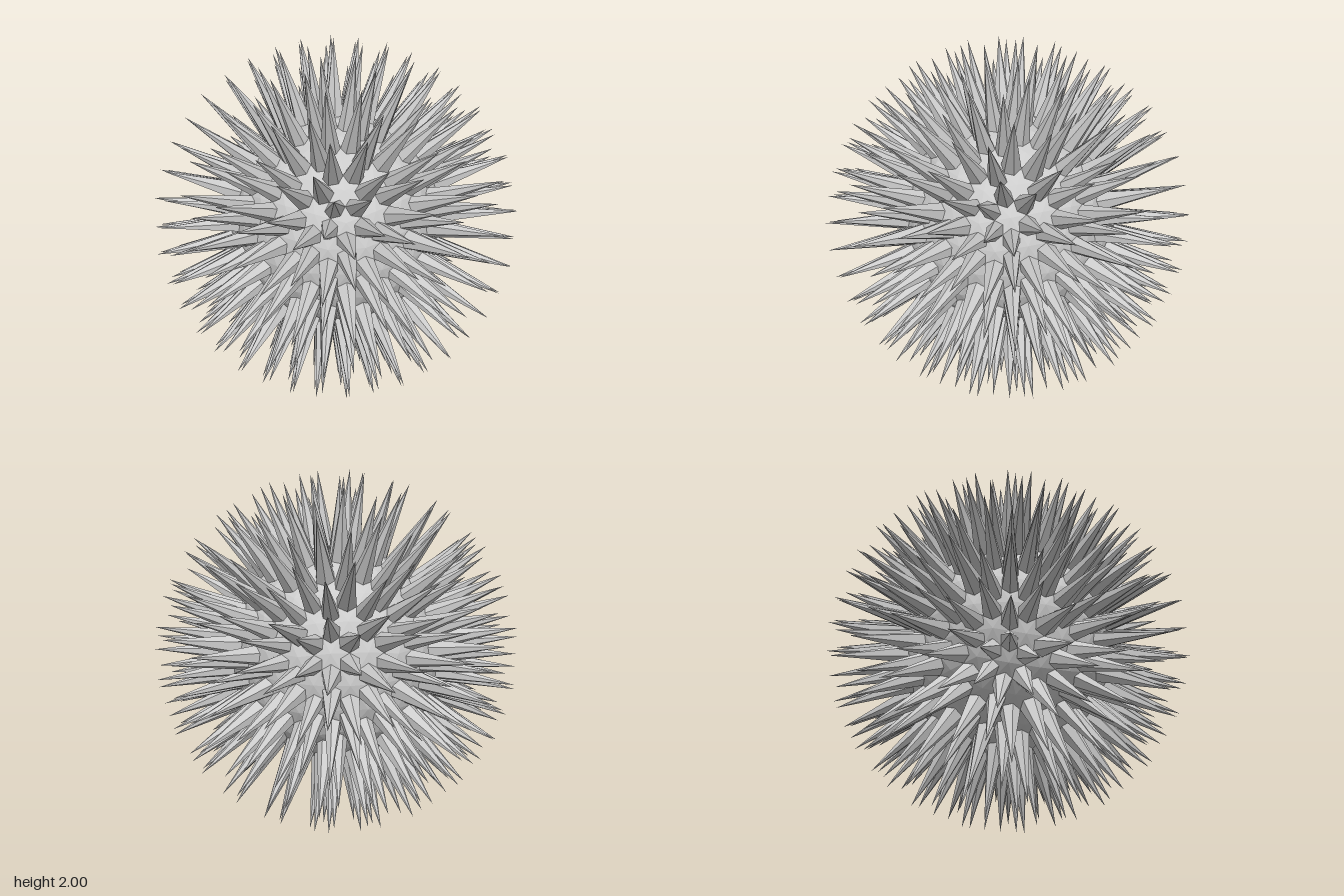
import * as THREE from 'three';

const CORE = 0.6;    // radius of the faceted ball
const TIP = 1.012;   // radius of the spike tips

// Icosahedron standing on a corner, each face split in four `levels` times
function sphereFacets(levels) {
  const ring = (y, offset) => Array.from({ length: 5 }, (_, i) => {
    const a = offset + i * Math.PI * 0.4, r = Math.sqrt(1 - y * y);
    return new THREE.Vector3(r * Math.cos(a), y, -r * Math.sin(a));
  });
  const h = Math.sqrt(0.2);
  const top = new THREE.Vector3(0, 1, 0), bottom = new THREE.Vector3(0, -1, 0);
  const up = ring(h, 0), low = ring(-h, Math.PI / 5);
  let faces = [];
  for (let i = 0; i < 5; i++) {
    const j = (i + 1) % 5;
    faces.push([top, up[i], up[j]], [up[i], low[i], up[j]],
      [low[i], low[j], up[j]], [bottom, low[j], low[i]]);
  }
  const mid = (a, b) => a.clone().add(b).normalize();
  for (let n = 0; n < levels; n++) {
    faces = faces.flatMap(([a, b, c]) => {
      const ab = mid(a, b), bc = mid(b, c), ca = mid(c, a);
      return [[a, ab, ca], [ab, b, bc], [ca, bc, c], [ab, bc, ca]];
    });
  }
  return faces;
}

function facetMesh(name, triangles, material) {
  const geometry = new THREE.BufferGeometry().setFromPoints(triangles.flat());
  geometry.computeVertexNormals();
  const mesh = new THREE.Mesh(geometry, material);
  mesh.name = name;
  return mesh;
}

export function createModel() {
  const group = new THREE.Group();
  group.name = 'spikyBall';
  const material = new THREE.MeshStandardMaterial({ color: 0xcccccc, flatShading: true });

  const ball = sphereFacets(2).map((f) => f.map((v) => v.clone().multiplyScalar(CORE)));

  // One six-sided spike per facet; neighbours touch at the edge midpoints
  const spikes = ball.flatMap((f) => {
    const centre = f[0].clone().add(f[1]).add(f[2]).divideScalar(3);
    const tip = centre.clone().setLength(TIP);
    const base = f.flatMap((v, i) => [
      centre.clone().lerp(v, 0.5),
      v.clone().lerp(f[(i + 1) % 3], 0.5),
    ]);
    return base.map((v, i) => [v, base[(i + 1) % 6], tip]);
  });

  group.add(facetMesh('core', ball, material), facetMesh('spikes', spikes, material));
  group.children.forEach((m) => { m.position.y = 1; });
  return group;
}
